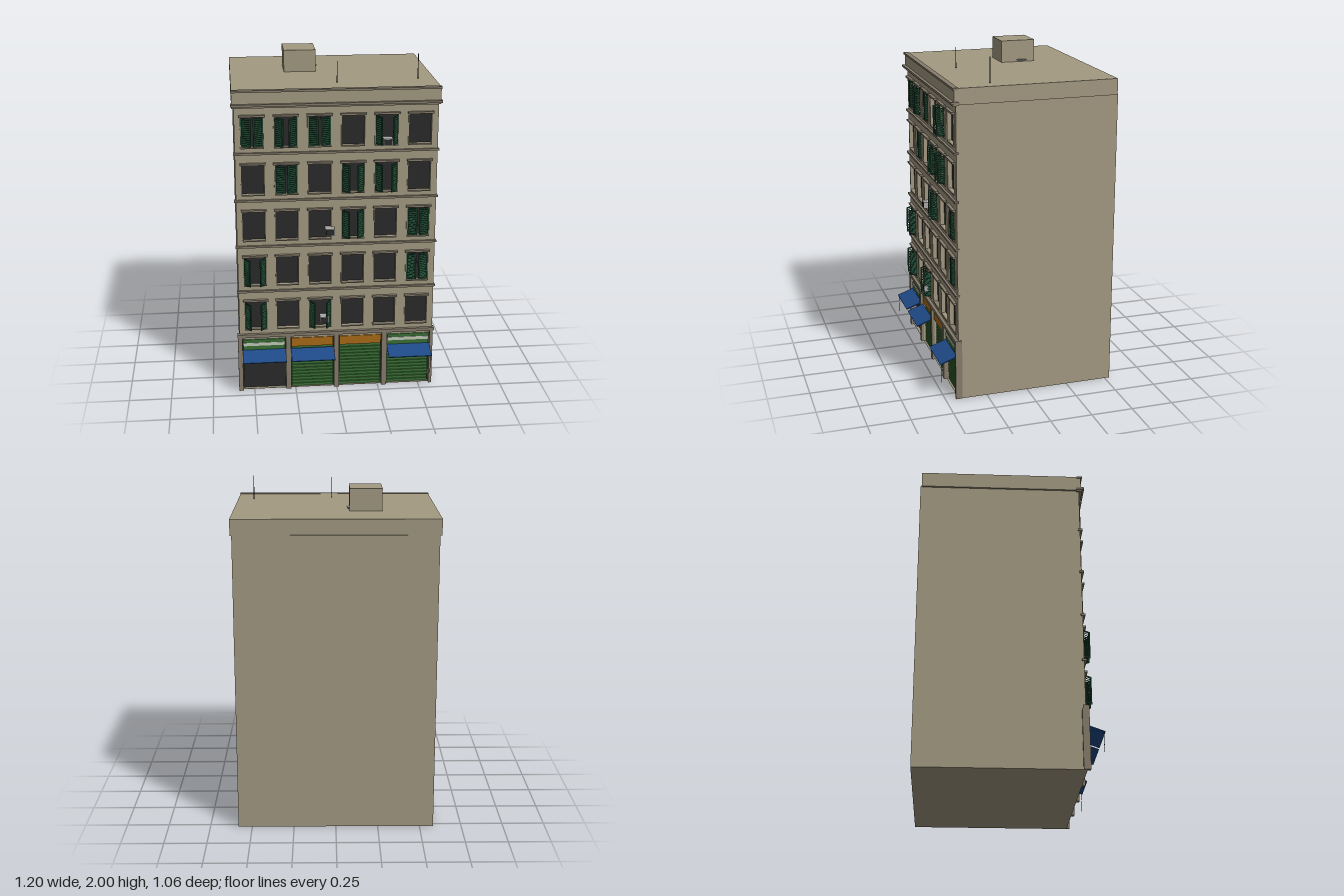
import * as THREE from 'three';

const mat = (name, color) => {
  const m = new THREE.MeshStandardMaterial({ color });
  m.name = name;
  return m;
};

export function createModel() {
  const wall = mat('wall stone', 0xa39a82);
  const trim = mat('trim stone', 0x867c6c);
  const glass = mat('dark glass', 0x2b2b2b);
  const shutterGreen = mat('shutter green', 0x1f4a33);
  const shopGreen = mat('shop green', 0x3a7034);
  const orange = mat('sign orange', 0xa86a18);
  const blue = mat('awning blue', 0x1f4a88);
  const grey = mat('light grey', 0xa9aaa8);
  const stripe = mat('sign stripe', 0xc3cbb9);

  const building = new THREE.Group();
  building.name = 'building';

  // Box given by its minimum and maximum on each axis
  const box = (name, m, x0, x1, y0, y1, z0, z1, parent = building) => {
    const mesh = new THREE.Mesh(new THREE.BoxGeometry(x1 - x0, y1 - y0, z1 - z0), m);
    mesh.position.set((x0 + x1) / 2, (y0 + y1) / 2, (z0 + z1) / 2);
    mesh.name = name;
    parent.add(mesh);
    return mesh;
  };
  const rod = (name, m, r, x, y0, y1, z) => {
    const mesh = new THREE.Mesh(new THREE.CylinderGeometry(r, r, y1 - y0, 6), m);
    mesh.position.set(x, (y0 + y1) / 2, z);
    mesh.name = name;
    building.add(mesh);
  };

  const W = 0.582, faceZ = 0.422, paneZ = 0.402;
  const columns = [-0.482, -0.291, -0.099, 0.094, 0.286, 0.479];
  const rowBase = [0.403, 0.684, 0.965, 1.245, 1.526];
  const winW = 0.128, winH = 0.172;
  const bays = [[-0.567, -0.308], [-0.276, -0.017], [0.014, 0.273], [0.305, 0.565]];

  // Main block and roof
  box('mainBlock', wall, -W, W, 0, 1.765, -0.53, 0.4);
  box('parapet', wall, -0.594, 0.592, 1.762, 1.855, -0.523, 0.434);
  box('coping', trim, -0.597, 0.595, 1.846, 1.858, 0.41, 0.442);
  box('roofHut', wall, -0.272, -0.082, 1.85, 1.985, -0.255, -0.048);

  // Facade with openings for windows and shops
  const face = new THREE.Shape();
  face.moveTo(-W, 0).lineTo(W, 0).lineTo(W, 1.765).lineTo(-W, 1.765).closePath();
  const cut = (x0, x1, y0, y1) => {
    const p = new THREE.Path();
    p.moveTo(x0, y0).lineTo(x0, y1).lineTo(x1, y1).lineTo(x1, y0).closePath();
    face.holes.push(p);
  };
  for (const y of rowBase)
    for (const x of columns) cut(x - winW / 2, x + winW / 2, y, y + winH);
  for (const [x0, x1] of bays) cut(x0, x1, 0.002, 0.332);
  const facade = new THREE.Mesh(
    new THREE.ExtrudeGeometry(face, { depth: faceZ - 0.4, bevelEnabled: false }), wall);
  facade.position.z = 0.4;
  facade.name = 'facade';
  building.add(facade);

  // Ledges between floors and the top cornice
  for (const y of [0.645, 0.927, 1.208, 1.489])
    box('floorLedge', trim, -0.592, 0.589, y - 0.006, y + 0.006, 0.41, 0.436);
  box('shopLedge', trim, -0.595, 0.59, 0.35, 0.37, 0.405, 0.441);
  box('corniceLower', trim, -0.594, 0.59, 1.757, 1.767, 0.405, 0.442);
  box('corniceUpper', trim, -0.599, 0.598, 1.767, 1.78, 0.405, 0.453);

  // Windows: pane, lintel, jambs and sill
  for (const y of rowBase)
    for (const x of columns) {
      const h = winW / 2;
      box('windowPane', glass, x - h, x + h, y, y + winH, 0.398, paneZ);
      box('lintel', trim, x - 0.074, x + 0.074, y + winH + 0.006, y + winH + 0.017, 0.415, 0.441);
      box('sill', trim, x - h - 0.003, x + h + 0.003, y - 0.007, y, 0.405, 0.43);
      for (const s of [-1, 1])
        box('jamb', wall, x + s * (h + 0.003) - 0.003, x + s * (h + 0.003) + 0.003, y, y + winH + 0.006, 0.41, 0.428);
    }

  // Louvred shutters: [row, column, opening angle]
  const shutters = [
    [0, 0, 0.95], [0, 2, 1.05], [1, 0, 0.95], [1, 5, 0.3], [2, 3, 0.8], [2, 5, 0.3],
    [3, 1, 0.25], [3, 3, 0.8], [3, 4, 0.9], [4, 0, 0.3], [4, 1, 0.65], [4, 2, 0.3], [4, 4, 1.0],
  ];
  for (const [r, c, angle] of shutters)
    for (const s of [-1, 1]) {
      const leaf = new THREE.Group();
      leaf.name = 'shutterLeaf';
      leaf.position.set(columns[c] + s * winW / 2, rowBase[r] + 0.003, 0.417);
      leaf.rotation.y = s * angle;
      const w = 0.06, h = winH - 0.006;
      const part = (name, a, b, y0, y1, d) =>
        box(name, shutterGreen, Math.min(-s * a, -s * b), Math.max(-s * a, -s * b), y0, y1, -d, d, leaf);
      part('stile', 0, 0.008, 0, h, 0.003);
      part('stile', w - 0.008, w, 0, h, 0.003);
      part('rail', 0.008, w - 0.008, 0, 0.008, 0.003);
      part('rail', 0.008, w - 0.008, h - 0.008, h, 0.003);
      for (let i = 0; i < 13; i++) {
        const slat = part('slat', 0.008, w - 0.008, 0.012 + i * 0.0113, 0.0145 + i * 0.0113, 0.005);
        slat.rotation.x = 0.7;
      }
      building.add(leaf);
    }

  // Air conditioners
  for (const [x, y] of [[-0.043, 1.015], [-0.075, 0.458], [0.29, 1.548]]) {
    box('airConditioner', grey, x - 0.027, x + 0.027, y - 0.019, y + 0.019, 0.41, 0.466);
    box('airConditionerGrille', glass, x - 0.023, x + 0.023, y - 0.015, y + 0.015, 0.465, 0.468);
  }

  // Shop pilasters
  for (const [x0, x1] of [[-0.594, -0.567], [-0.308, -0.276], [-0.017, 0.014], [0.273, 0.305], [0.565, 0.584]])
    box('pilaster', trim, x0, x1, 0, 0.352, 0.4, 0.44);

  // Shop fronts: signs, doors, roller shutters and awnings
  bays.forEach(([x0, x1], i) => {
    const a = x0 + 0.004, b = x1 - 0.004;
    box('shopRecess', glass, x0, x1, 0.002, 0.332, 0.398, paneZ);
    if (i === 0 || i === 3) {
      box('sign', shopGreen, a, b, 0.262, 0.33, 0.4, 0.424);
      box('signStripe', stripe, a, b, 0.29, 0.31, 0.423, 0.427);
    } else {
      box('sign', orange, a, b, 0.275, 0.331, 0.4, 0.425);
    }
    if (i > 0) {
      const n = 13, step = 0.272 / n;
      for (let k = 0; k < n; k++)
        box('rollerSlat', shopGreen, a, b, 0.003 + k * step, 0.003 + (k + 0.8) * step, 0.4, 0.411);
    }
    if (i !== 2) {
      const slope = Math.atan2(0.038, 0.105);
      const awning = box('awning', blue, x0, x1, 0.24, 0.246, 0.422, 0.531);
      awning.rotation.x = slope;
      if (i === 0 || i === 3)
        rod('awningCrank', glass, 0.0015, i ? x1 - 0.006 : x0 + 0.006, 0.11, 0.226, 0.52);
    }
  });

  // Roof antennas and dish
  rod('antenna', glass, 0.0025, 0.016, 1.85, 1.98, 0.265);
  rod('antenna', glass, 0.0025, 0.495, 1.85, 2.0, 0.2);
  const dish = new THREE.Mesh(new THREE.CylinderGeometry(0.04, 0.03, 0.012, 20), grey);
  dish.position.set(-0.104, 1.863, -0.175);
  dish.name = 'dish';
  building.add(dish);

  return building;
}
